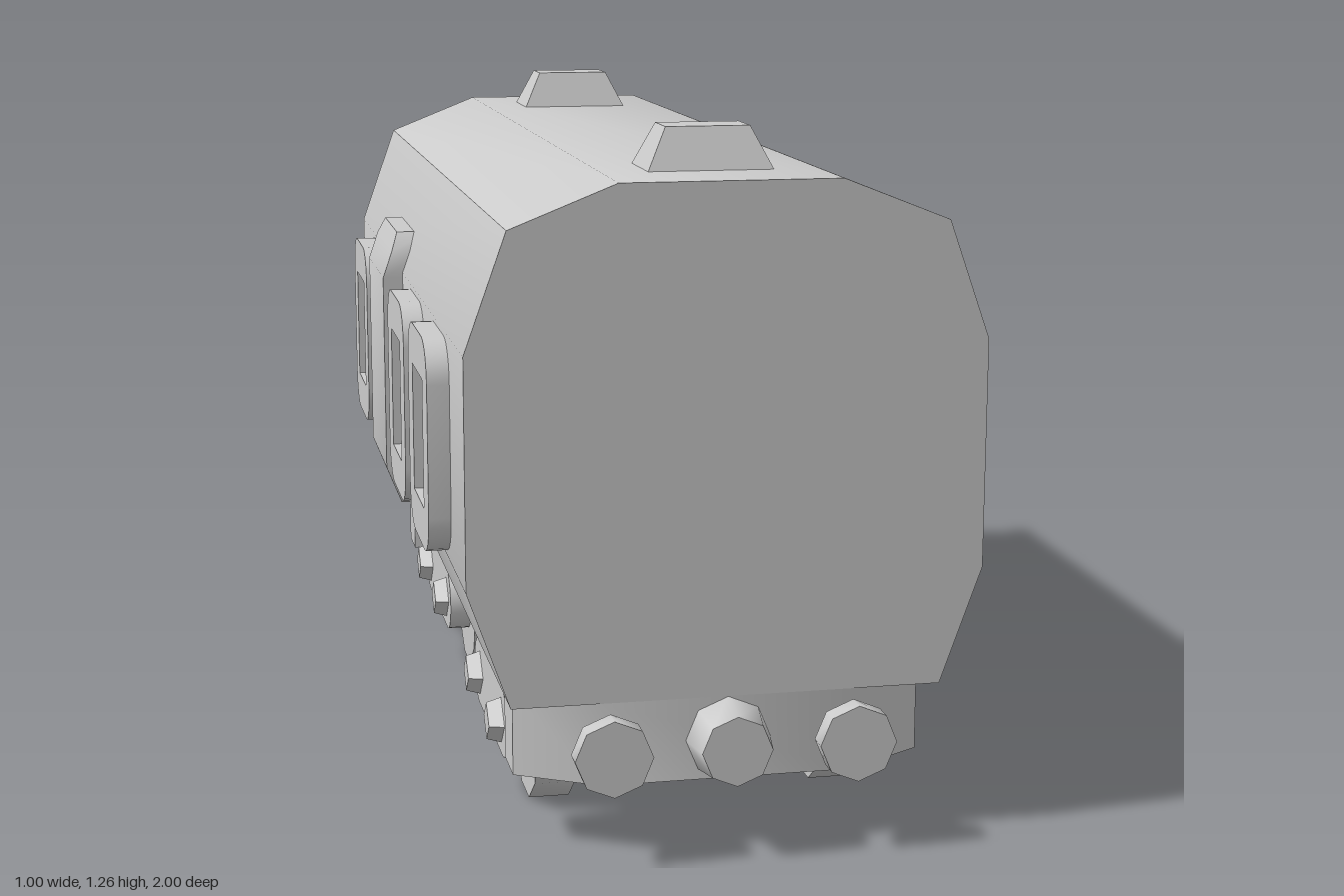
import * as THREE from 'three';
import { toCreasedNormals } from 'three/addons/utils/BufferGeometryUtils.js';

const material = new THREE.MeshStandardMaterial({ color: 0xcccccc });

function part(name, geometry, parent) {
  const mesh = new THREE.Mesh(toCreasedNormals(geometry, 0.8), material);
  mesh.name = name;
  parent.add(mesh);
  return mesh;
}

const polygon = (points) => new THREE.Shape(points.map(([x, y]) => new THREE.Vector2(x, y)));

const extrude = (shape, depth, curveSegments = 3) =>
  new THREE.ExtrudeGeometry(shape, { depth, bevelEnabled: false, curveSegments });

// Extrude a side outline outwards along x, from x0 to x1
const extrudeX = (shape, x0, x1, segments) =>
  extrude(shape, x1 - x0, segments).rotateY(Math.PI / 2).translate(x0, 0, 0);

// Stack of horizontal rectangles [y, xMin, xMax, zHalf], capped at both ends
function loft(sections) {
  const positions = [], index = [];
  for (const [y, a, b, w] of sections) positions.push(a, y, w, b, y, w, b, y, -w, a, y, -w);
  for (let i = 0; i < sections.length - 1; i++) {
    for (let j = 0; j < 4; j++) {
      const p = i * 4 + j, q = i * 4 + (j + 1) % 4;
      index.push(p, q, q + 4, p, q + 4, p + 4);
    }
  }
  const t = (sections.length - 1) * 4;
  index.push(0, 2, 1, 0, 3, 2, t, t + 1, t + 2, t, t + 2, t + 3);
  const geometry = new THREE.BufferGeometry();
  geometry.setAttribute('position', new THREE.Float32BufferAttribute(positions, 3));
  geometry.setIndex(index);
  return geometry;
}

// Capsule outline, with an optional hanger rising from its middle
function capsule(half, r, hangerHalf, hangerTop) {
  const s = new THREE.Shape();
  s.moveTo(-half, -r);
  s.lineTo(half, -r);
  s.absarc(half, 0, r, -Math.PI / 2, Math.PI / 2, false);
  if (hangerHalf) {
    s.lineTo(hangerHalf, r);
    s.lineTo(hangerHalf, hangerTop);
    s.lineTo(-hangerHalf, hangerTop);
    s.lineTo(-hangerHalf, r);
  }
  s.lineTo(-half, r);
  s.absarc(-half, 0, r, Math.PI / 2, Math.PI * 1.5, false);
  return s;
}

// Rounded panel with a rectangular opening
function windowGeometry() {
  const w = 0.152, h = 0.195, r = 0.075;
  const s = new THREE.Shape();
  s.absarc(w - r, h - r, r, 0, Math.PI / 2, false);
  s.absarc(r - w, h - r, r, Math.PI / 2, Math.PI, false);
  s.absarc(r - w, r - h, r, Math.PI, Math.PI * 1.5, false);
  s.absarc(w - r, r - h, r, Math.PI * 1.5, Math.PI * 2, false);
  s.holes.push(polygon([[-0.078, -0.118], [-0.078, 0.118], [0.078, 0.118], [0.078, -0.118]]));
  return extrudeX(s, 0.44, 0.5);
}

function bogie() {
  const group = new THREE.Group();
  group.name = 'bogie';
  part('bogieCore', extrudeX(capsule(0.147, 0.08), -0.25, 0.25, 8), group);
  for (const turn of [0, Math.PI]) {
    const side = new THREE.Group();
    side.name = 'bogieSide';
    side.rotation.y = turn;
    group.add(side);
    part('bogieFrame', extrudeX(capsule(0.16, 0.066, 0.077, 0.14), 0.29, 0.352, 6), side);
    for (const z of [-0.147, 0.147]) {
      const wheel = new THREE.CylinderGeometry(0.147, 0.147, 0.075, 10).rotateZ(-Math.PI / 2);
      part('wheel', wheel, side).position.set(0.27, 0, z);
      const bolt = new THREE.CylinderGeometry(0.036, 0.048, 0.04, 4).rotateZ(-Math.PI / 2);
      part('axleBolt', bolt, side).position.set(0.36, 0, z);
    }
  }
  return group;
}

// End beam with its bumpers and coupling, and the roof vent above, facing +z
function endGear() {
  const group = new THREE.Group();
  group.name = 'endGear';
  const beam = polygon([
    [-0.37, 0.745], [-0.29, 0.745], [-0.29, 0.79], [-0.2, 0.845], [0.2, 0.845], [0.29, 0.79],
    [0.29, 0.745], [0.37, 0.745], [0.37, 0.84], [0.225, 0.925], [-0.225, 0.925], [-0.37, 0.84],
  ]);
  part('endBeam', extrude(beam, 0.15).rotateX(Math.PI / 2), group).position.y = 0.28;
  for (const x of [-0.217, 0.217]) {
    const profile = [[0, 0.88], [0.04, 0.88], [0.04, 0.92], [0.069, 0.96], [0.069, 1], [0, 1]];
    const bumper = new THREE.LatheGeometry(profile.map(([r, y]) => new THREE.Vector2(r, y)), 8);
    part('bumper', bumper.rotateX(Math.PI / 2), group).position.set(x, 0.203, 0);
  }
  const coupling = new THREE.CylinderGeometry(0.063, 0.077, 0.08, 8).rotateX(Math.PI / 2);
  part('coupling', coupling, group).position.set(0, 0.203, 0.96);
  const vent = loft([[1.18, -0.115, 0.115, 0.076], [1.26, -0.076, 0.076, 0.044]]);
  part('roofVent', vent, group).position.z = 0.692;
  return group;
}

export function createModel() {
  const model = new THREE.Group();
  model.name = 'railCarriage';

  // Body shell
  const half = [[0.385, 0.28], [0.46, 0.49], [0.46, 0.9], [0.385, 1.11], [0.195, 1.185]];
  const outline = [...half, ...half.map(([x, y]) => [-x, y]).reverse()];
  part('body', extrude(polygon(outline), 1.85).translate(0, 0, -0.925), model);

  // Windows and bent door on both sides
  const door = loft([
    [0.41, 0.4, 0.467, 0.12], [0.445, 0.41, 0.481, 0.153], [0.493, 0.42, 0.5, 0.153],
    [0.89, 0.42, 0.5, 0.153], [0.945, 0.41, 0.481, 0.153], [0.98, 0.4, 0.467, 0.12],
  ]);
  for (const turn of [0, Math.PI]) {
    for (const z of [0.58, 0.195, -0.577]) {
      const frame = part('windowFrame', windowGeometry(), model);
      frame.rotation.y = turn;
      frame.position.set(0, 0.695, z);
    }
    const panel = part('door', door, model);
    panel.rotation.y = turn;
    panel.position.z = -0.19;
  }

  // Underfloor tank
  const tank = polygon([[-0.25, 0.13], [0.25, 0.13], [0.37, 0.285], [-0.37, 0.285]]);
  part('underfloorTank', extrude(tank, 0.235).translate(0, 0, -0.1175), model);

  // Bogies and end gear at both ends
  for (const s of [1, -1]) {
    const truck = bogie();
    truck.position.set(0, 0.14, s * 0.423);
    model.add(truck);
    const gear = endGear();
    gear.rotation.y = s > 0 ? 0 : Math.PI;
    model.add(gear);
  }
  return model;
}
